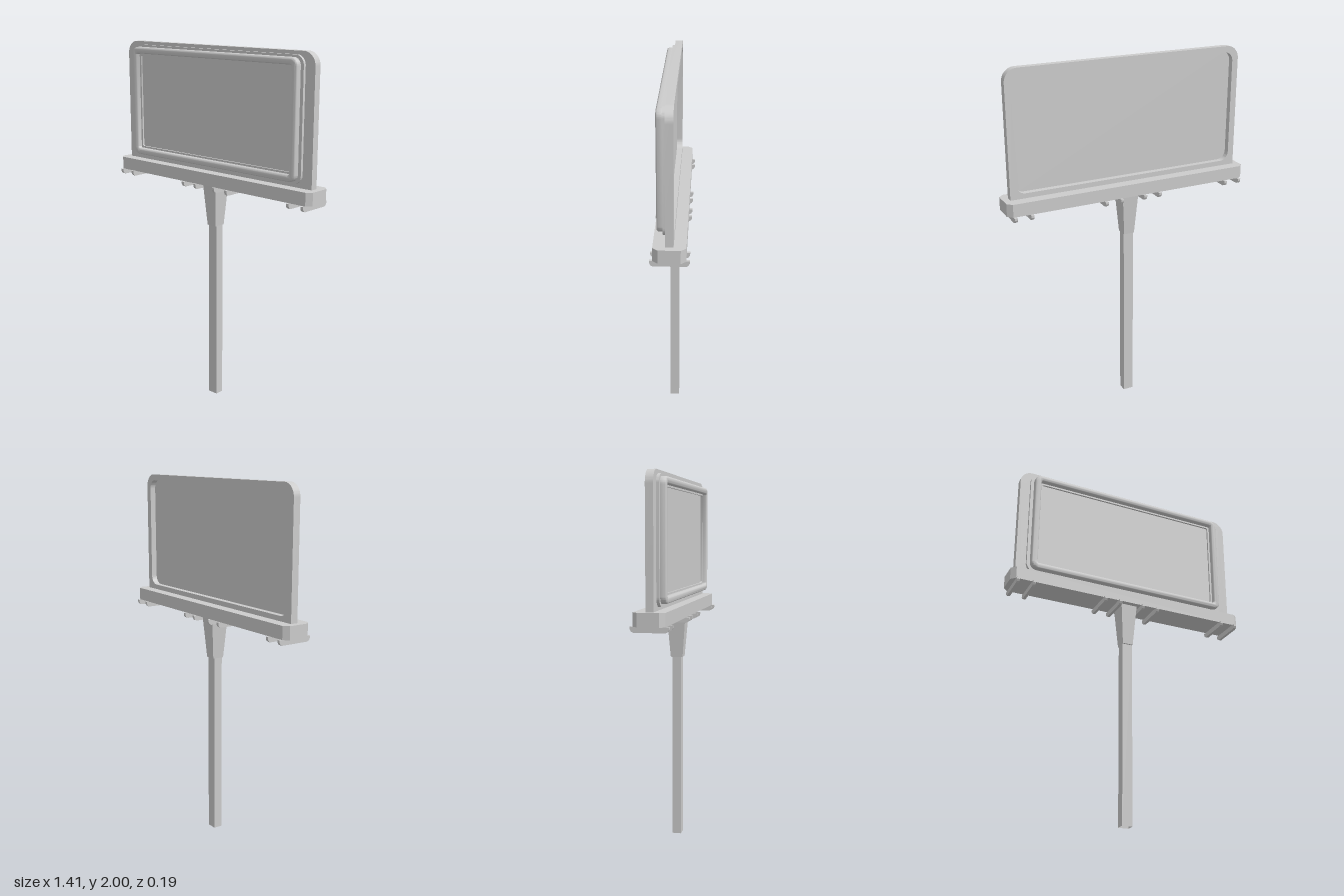
import * as THREE from 'three';
import { toCreasedNormals } from 'three/addons/utils/BufferGeometryUtils.js';

const grey = new THREE.MeshStandardMaterial({ color: 0xcccccc });
const greyOpen = new THREE.MeshStandardMaterial({ color: 0xcccccc, side: THREE.DoubleSide });

// Rounded rectangle centred on x = 0; bottom and top corners may differ.
function roundRect(hw, y0, y1, rTop, rBottom = rTop, PathType = THREE.Shape) {
  const p = new PathType();
  p.moveTo(-hw + rBottom, y0);
  p.lineTo(hw - rBottom, y0);
  if (rBottom) p.absarc(hw - rBottom, y0 + rBottom, rBottom, -Math.PI / 2, 0);
  p.lineTo(hw, y1 - rTop);
  p.absarc(hw - rTop, y1 - rTop, rTop, 0, Math.PI / 2);
  p.lineTo(-hw + rTop, y1);
  p.absarc(-hw + rTop, y1 - rTop, rTop, Math.PI / 2, Math.PI);
  p.lineTo(-hw, y0 + rBottom);
  if (rBottom) p.absarc(-hw + rBottom, y0 + rBottom, rBottom, Math.PI, Math.PI * 1.5);
  return p;
}

// Extrudes a shape from z0 to z1, optionally cutting a hole and rounding the edges.
function slab(shape, z0, z1, hole, bevel = 0) {
  if (hole) shape.holes.push(hole);
  const geo = new THREE.ExtrudeGeometry(shape, {
    depth: z1 - z0 - 2 * bevel, curveSegments: 8,
    bevelEnabled: bevel > 0, bevelThickness: bevel, bevelSize: bevel,
    bevelOffset: -bevel, bevelSegments: 4,
  });
  geo.translate(0, 0, z0 + bevel);
  return toCreasedNormals(geo, 0.6);
}

const hole = (hw, y0, y1, r) => roundRect(hw, y0, y1, r, r, THREE.Path);

export function createModel() {
  const group = new THREE.Group();
  const add = (name, geo, material = grey) => {
    const mesh = new THREE.Mesh(geo, material);
    mesh.name = name;
    group.add(mesh);
    return mesh;
  };

  // Square post, hollow at the foot
  const post = new THREE.CylinderGeometry(Math.SQRT2, Math.SQRT2, 1.04, 4, 1, true).toNonIndexed();
  post.rotateY(Math.PI / 4).scale(0.029, 1, 0.025).translate(0, 0.52, 0);
  post.computeVertexNormals();
  add('post', post, greyOpen);

  // Tapered collar widening up to the beam
  const collar = new THREE.CylinderGeometry(Math.SQRT2, Math.SQRT2 * 0.64, 0.235, 4).toNonIndexed();
  collar.rotateY(Math.PI / 4).scale(0.047, 1, 0.052).translate(0, 1.1375, 0);
  collar.computeVertexNormals();
  add('collar', collar);

  // Horizontal beam with chamfered vertical corners
  const bx = 0.705, bz = 0.081, c = 0.026;
  const outline = new THREE.Shape([
    [-bx + c, -bz], [bx - c, -bz], [bx, -bz + c], [bx, bz - c],
    [bx - c, bz], [-bx + c, bz], [-bx, bz - c], [-bx, -bz + c],
  ].map(([x, y]) => new THREE.Vector2(x, y)));
  const beam = new THREE.ExtrudeGeometry(outline, { depth: 0.07, bevelEnabled: false });
  beam.rotateX(-Math.PI / 2).translate(0, 1.255, 0);
  add('beam', beam);

  // Crossbars under the beam, cut back at the lower ends
  const barProfile = new THREE.Shape([
    [-0.08, 1.226], [0.08, 1.226], [0.091, 1.232], [0.097, 1.243],
    [0.097, 1.255], [-0.097, 1.255], [-0.097, 1.243], [-0.091, 1.232],
  ].map(([z, y]) => new THREE.Vector2(z, y)));
  const bar = new THREE.ExtrudeGeometry(barProfile, { depth: 0.016, bevelEnabled: false });
  bar.translate(0, 0, -0.008).rotateY(Math.PI / 2);
  for (const x of [0.07, 0.16, 0.58, 0.67]) {
    for (const side of [-1, 1]) add('crossbar', bar).position.x = side * x;
  }

  // Sign casing: rim around a recess that is open to the back
  add('casing', slab(roundRect(0.67, 1.32, 2, 0.07, 0), -0.02, 0.02, hole(0.635, 1.352, 1.967, 0.05)));
  add('backPlate', slab(roundRect(0.635, 1.352, 1.967, 0.05), 0.012, 0.02));

  // Stepped display frame on the front
  add('frameBase', slab(roundRect(0.612, 1.343, 1.982, 0.05), 0.02, 0.035, hole(0.56, 1.388, 1.938, 0.01)));
  add('frameRing', slab(roundRect(0.594, 1.356, 1.97, 0.04), 0.022, 0.066, hole(0.556, 1.392, 1.934, 0.01), 0.012));
  add('innerLip', slab(roundRect(0.562, 1.386, 1.94, 0.01), 0.02, 0.04, hole(0.545, 1.402, 1.924, 0.01)));
  add('screen', slab(roundRect(0.55, 1.397, 1.929, 0.01), 0.018, 0.03));

  return group;
}
